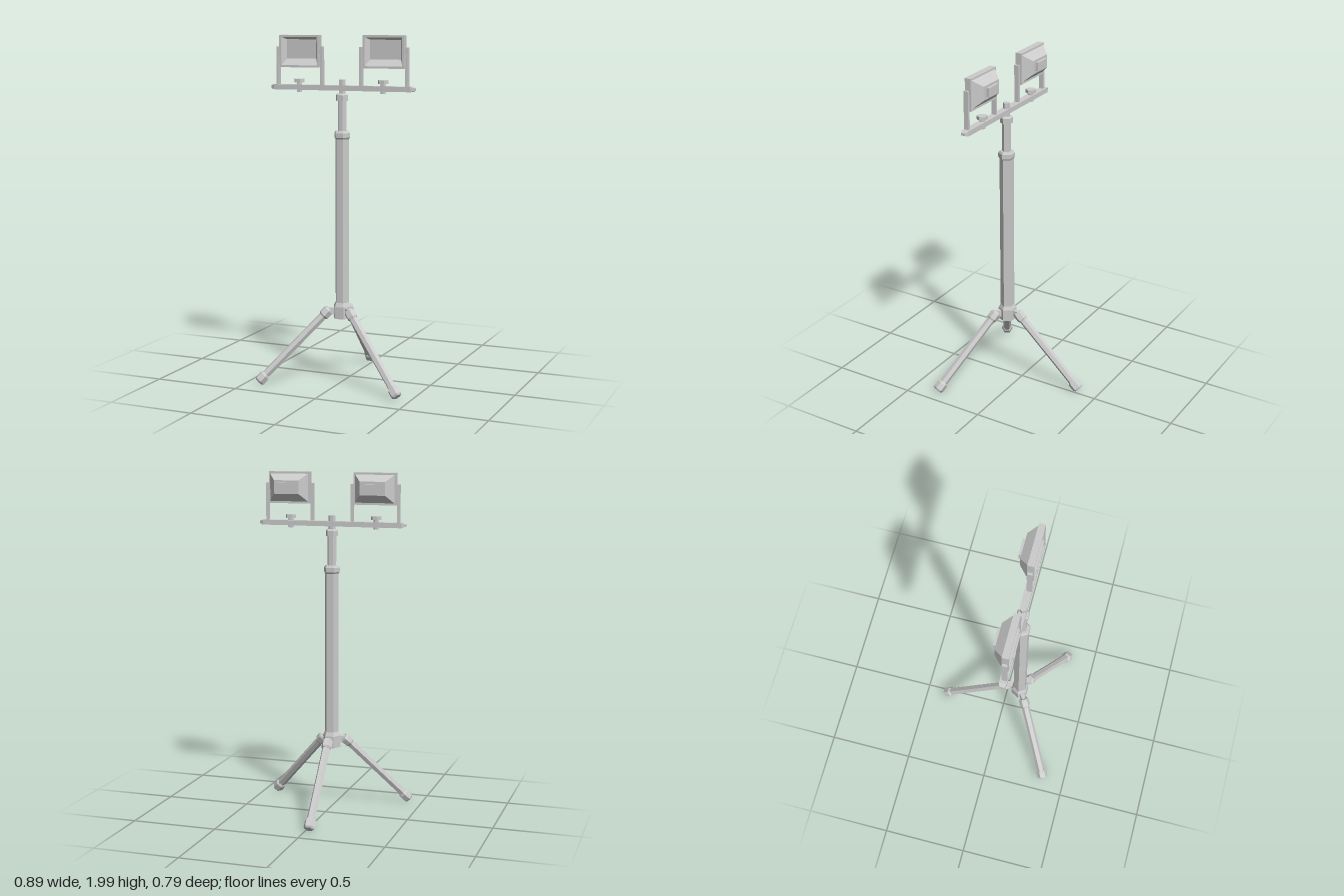
import * as THREE from 'three';

const grey = new THREE.MeshStandardMaterial({ color: 0xcccccc, flatShading: true });
const greyDouble = new THREE.MeshStandardMaterial({ color: 0xcccccc, flatShading: true, side: THREE.DoubleSide });
const CX = -0.006, CZ = 0.106; // axis of the mast

function add(parent, name, geometry, x = 0, y = 0, z = 0, material = grey) {
  const mesh = new THREE.Mesh(geometry, material);
  mesh.name = name;
  mesh.position.set(x, y, z);
  parent.add(mesh);
  return mesh;
}

// Six-sided turned part from [radius, height] pairs, bottom to top, corners on the x axis
function hex(profile) {
  const points = [[0, profile[0][1]], ...profile, [0, profile[profile.length - 1][1]]];
  return new THREE.LatheGeometry(points.map(([r, y]) => new THREE.Vector2(r, y)), 6, Math.PI / 6);
}

// Rectangular taper: front w0 x h0 at z = 0, back w1 x h1 at z = -depth, back shifted by dy
function taper(w0, h0, w1, h1, depth, dy = 0) {
  const g = new THREE.BoxGeometry(1, 1, depth).translate(0, 0, -depth / 2);
  const p = g.attributes.position;
  for (let i = 0; i < p.count; i++) {
    const front = p.getZ(i) > -depth / 2;
    p.setX(i, p.getX(i) * (front ? w0 : w1));
    p.setY(i, p.getY(i) * (front ? h0 : h1) + (front ? 0 : dy));
  }
  g.computeVertexNormals();
  return g;
}

function rectangle(Type, w, h) {
  return new Type([[-w, -h], [w, -h], [w, h], [-w, h]].map(([x, y]) => new THREE.Vector2(x / 2, y / 2)));
}

function createMast() {
  const mast = new THREE.Group();
  mast.name = 'mast';
  mast.position.set(CX, 0, CZ);
  add(mast, 'hub', hex([[0.053, 0.38], [0.053, 0.45], [0.042, 0.473]]));
  add(mast, 'lowerTube', hex([[0.041, 0.4], [0.041, 1.44]]));
  add(mast, 'lowerCollar', hex([[0.041, 1.415], [0.048, 1.425], [0.048, 1.45], [0.04, 1.462]]));
  add(mast, 'upperTube', hex([[0.026, 1.42], [0.026, 1.65]]));
  add(mast, 'upperCollar', hex([[0.037, 1.632], [0.037, 1.664], [0.03, 1.672]]));
  add(mast, 'topBolt', hex([[0.02, 1.66], [0.02, 1.75]]));
  return mast;
}

function createLeg(top, foot) {
  const leg = new THREE.Group();
  leg.name = 'leg';
  const dir = top.clone().sub(foot);
  const len = dir.length();
  leg.position.copy(foot);
  leg.quaternion.setFromUnitVectors(new THREE.Vector3(0, 1, 0), dir.normalize());
  add(leg, 'legTube', hex([[0.024, 0], [0.024, len]]));
  add(leg, 'foot', hex([[0.024, -0.03], [0.033, -0.02], [0.033, 0.02], [0.025, 0.032]]));
  add(leg, 'legJoint', hex([[0.025, len - 0.032], [0.032, len - 0.022], [0.032, len + 0.016], [0.025, len + 0.027]]));
  return leg;
}

function createLamp() {
  const lamp = new THREE.Group();
  lamp.name = 'floodlight';
  const midY = 1.907, w = 0.248, h = 0.183, rim = 0.012;

  // Frame with an open front
  const shape = rectangle(THREE.Shape, w, h);
  shape.holes.push(rectangle(THREE.Path, w - 2 * rim, h - 2 * rim));
  add(lamp, 'frame', new THREE.ExtrudeGeometry(shape, { depth: 0.037, bevelEnabled: false }), 0, midY, 0.09);

  // Sloping reflector, its front face left open
  const reflector = taper(w - 2 * rim, h - 2 * rim, 0.176, 0.1, 0.036, 0.014);
  reflector.setIndex([...reflector.index.array].filter((_, i) => i < 24 || i >= 30));
  add(lamp, 'reflector', reflector, 0, midY, 0.121, greyDouble);

  add(lamp, 'housing', taper(0.232, 0.16, 0.15, 0.078, 0.05, 0.004), 0, midY, 0.0905);
  add(lamp, 'rearBox', new THREE.BoxGeometry(0.097, 0.05, 0.02), 0, midY + 0.004, 0.035);

  // Side arms, pivots and the clamp below
  for (const s of [-1, 1]) {
    add(lamp, 'bracketArm', new THREE.BoxGeometry(0.014, 0.23, 0.028), s * 0.137, 1.818, 0.11);
    add(lamp, 'pivot', new THREE.BoxGeometry(0.022, 0.022, 0.02), s * 0.127, 1.908, 0.11);
  }
  add(lamp, 'clampKnob', hex([[0.016, 1.676], [0.016, 1.73], [0.031, 1.731], [0.031, 1.751]]), -0.007, 0, CZ);
  return lamp;
}

function createCrossbar() {
  const bar = new THREE.Group();
  bar.name = 'crossbar';
  bar.position.set(CX, 1.703, CZ);
  add(bar, 'barBody', new THREE.BoxGeometry(0.836, 0.029, 0.042));
  for (const s of [-1, 1]) {
    add(bar, 'barEnd', taper(0.026, 0.014, 0.042, 0.029, 0.02), s * 0.438).rotation.y = s * Math.PI / 2;
  }
  return bar;
}

export function createModel() {
  const model = new THREE.Group();
  model.name = 'floodlightStand';
  model.add(createMast(), createCrossbar());

  // Tripod: [joint x, joint z, foot x, foot z]
  const legs = [[-0.005, 0.018, -0.023, -0.36], [-0.084, 0.154, -0.4, 0.355], [0.069, 0.154, 0.405, 0.325]];
  for (const [jx, jz, fx, fz] of legs) {
    model.add(createLeg(new THREE.Vector3(jx, 0.415, jz), new THREE.Vector3(fx, 0.042, fz)));
    const dx = jx - CX, dz = jz - CZ;
    const lug = add(model, 'legLug', new THREE.BoxGeometry(0.024, 0.04, Math.hypot(dx, dz)), CX + dx / 2, 0.422, CZ + dz / 2);
    lug.rotation.y = Math.atan2(dx, dz);
  }

  for (const x of [-0.264, 0.25]) {
    const lamp = createLamp();
    lamp.position.x = x;
    model.add(lamp);
  }
  return model;
}
